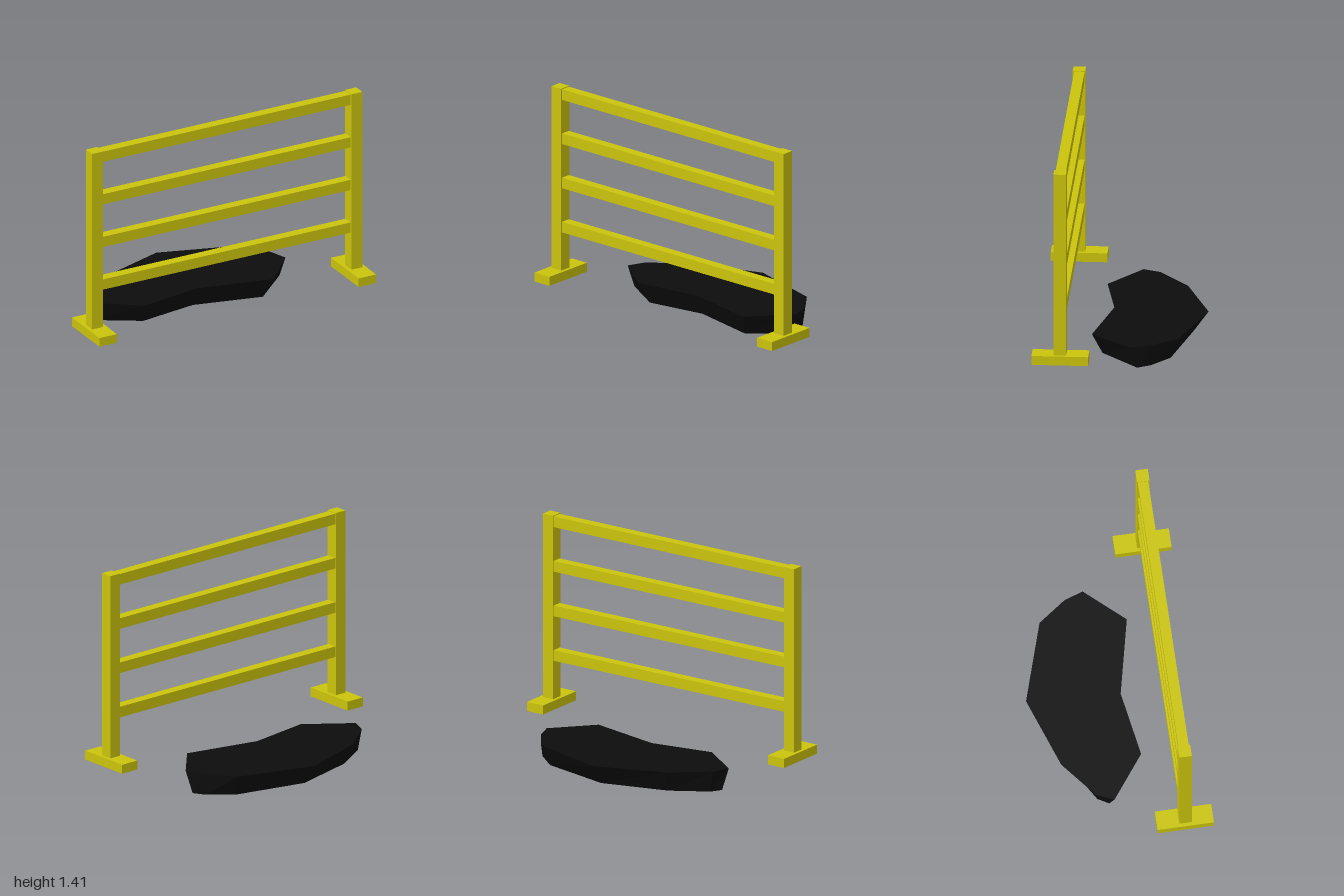
import * as THREE from 'three';

const yellow = new THREE.MeshStandardMaterial({ color: 0xcbc40c });
const black = new THREE.MeshStandardMaterial({ color: 0x0c0c0c, flatShading: true });

function addBox(parent, name, size, position) {
  const mesh = new THREE.Mesh(new THREE.BoxGeometry(...size), yellow);
  mesh.name = name;
  mesh.position.set(...position);
  parent.add(mesh);
}

// Solid between a lower and an upper outline; [x, z] corners run left, front, right, back
function loftSlab(lower, upper, height) {
  const positions = [];
  const put = (p, y) => positions.push(p[0], y, p[1]);
  const cap = (outline, y, flip) => {
    const contour = outline.map(([x, z]) => new THREE.Vector2(x, -z));
    for (const [a, b, c] of THREE.ShapeUtils.triangulateShape(contour, [])) {
      for (const i of flip ? [a, c, b] : [a, b, c]) put(outline[i], y);
    }
  };
  cap(upper, height, false);
  cap(lower, 0, true);
  for (let i = 0; i < upper.length; i++) {
    const j = (i + 1) % upper.length;
    put(lower[i], 0); put(lower[j], 0); put(upper[j], height);
    put(lower[i], 0); put(upper[j], height); put(upper[i], height);
  }
  const geometry = new THREE.BufferGeometry();
  geometry.setAttribute('position', new THREE.Float32BufferAttribute(positions, 3));
  geometry.computeVertexNormals();
  return geometry;
}

export function createModel() {
  const model = new THREE.Group();
  model.name = 'barrierAndSlab';

  // Barrier: two footed posts joined by four rails
  const barrier = new THREE.Group();
  barrier.name = 'barrier';
  model.add(barrier);
  for (const [side, s] of [['left', 1], ['right', -1]]) {
    addBox(barrier, side + 'Post', [0.08, 1.22, 0.08], [s * 0.937, 0.8, 0.35]);
    addBox(barrier, side + 'Foot', [0.126, 0.06, 0.36], [s * 0.937, 0.16, 0.348]);
  }
  for (let i = 0; i < 4; i++) {
    addBox(barrier, 'rail' + (i + 1), [1.8, 0.071, 0.066], [0, 0.48 + i * 0.2965, 0.348]);
  }

  // Irregular kidney-shaped slab, tapering towards the ground
  const upper = [
    [-0.74, -0.07], [-0.46, 0.14], [-0.04, 0.07], [0.45, 0.18], [0.675, -0.07],
    [0.635, -0.19], [0.505, -0.37], [-0.005, -0.53], [-0.46, -0.37], [-0.695, -0.18],
  ];
  const lower = [
    [-0.71, -0.1], [-0.43, 0.07], [-0.04, 0.01], [0.41, 0.115], [0.66, -0.12],
    [0.615, -0.2], [0.47, -0.32], [-0.005, -0.43], [-0.44, -0.31], [-0.67, -0.17],
  ];
  const slab = new THREE.Mesh(loftSlab(lower, upper, 0.14), black);
  slab.name = 'slab';
  model.add(slab);

  return model;
}
